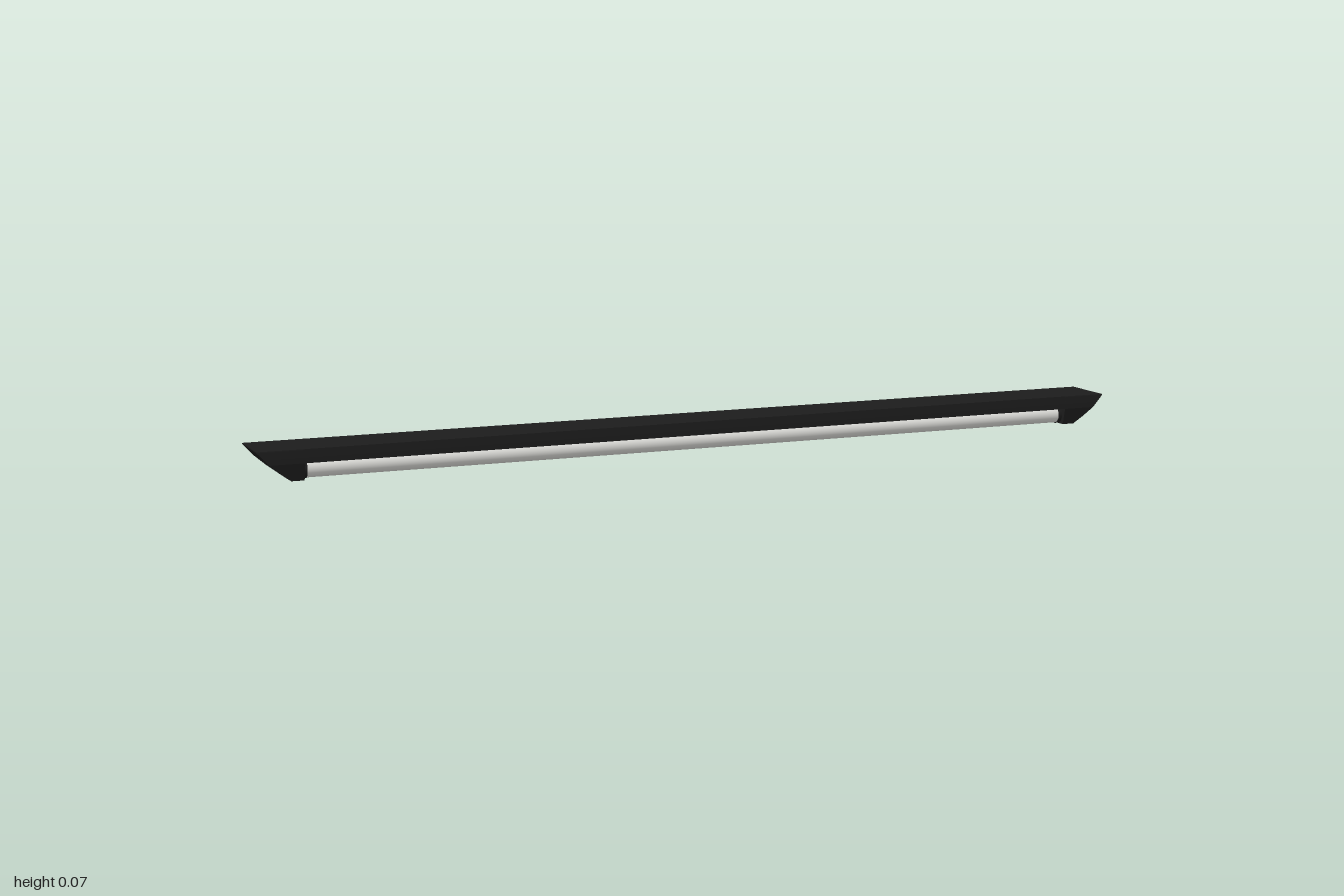
import * as THREE from 'three';

// Stack of rectangular sections: [y, xMin, xMax, zHalf], listed from bottom to top
function loftSections(sections) {
  const pos = [];
  const corners = ([y, x0, x1, z]) => [[x0, y, z], [x1, y, z], [x1, y, -z], [x0, y, -z]];
  const quad = (a, b, c, d) => pos.push(...a, ...b, ...c, ...a, ...c, ...d);
  const rings = sections.map(corners);
  for (let i = 0; i < rings.length - 1; i++) {
    for (let k = 0; k < 4; k++) {
      const n = (k + 1) % 4;
      quad(rings[i][k], rings[i][n], rings[i + 1][n], rings[i + 1][k]);
    }
  }
  const [a, b, c, d] = rings[0];
  quad(d, c, b, a);
  quad(...rings[rings.length - 1]);
  const geo = new THREE.BufferGeometry();
  geo.setAttribute('position', new THREE.Float32BufferAttribute(pos, 3));
  geo.computeVertexNormals();
  return geo;
}

export function createModel() {
  const model = new THREE.Group();
  const black = new THREE.MeshStandardMaterial({ color: 0x1c1c1c });
  black.name = 'black housing';
  const white = new THREE.MeshStandardMaterial({ color: 0xdededa });
  white.name = 'tube white';

  const add = (name, geo, mat, parent = model) => {
    const mesh = new THREE.Mesh(geo, mat);
    mesh.name = name;
    parent.add(mesh);
    return mesh;
  };

  // Long flat housing above the tubes
  add('housing', loftSections([
    [0.039, -0.9, 0.9, 0.065],
    [0.05, -0.9, 0.9, 0.065],
    [0.068, -0.9, 0.9, 0.063],
  ]), black);

  // Sloping end caps, one turned round to mirror the other
  for (const side of [1, -1]) {
    const end = new THREE.Group();
    end.name = side > 0 ? 'leftEnd' : 'rightEnd';
    end.rotation.y = side > 0 ? 0 : Math.PI;
    model.add(end);
    add('endCap', loftSections([
      [0.002, 0.9, 0.928, 0.056],
      [0.02, 0.9, 0.953, 0.06],
      [0.039, 0.9, 0.975, 0.065],
      [0.05, 0.9, 0.985, 0.065],
      [0.066, 0.9, 1, 0.0635],
      [0.068, 0.9, 1, 0.063],
    ]), black, end);

    // Small tab under the middle of the cap
    const tab = add('capTab', new THREE.BoxGeometry(0.025, 0.004, 0.026), black, end);
    tab.position.set(0.914, 0.002, 0);

    // Sockets that hold the tubes
    for (const z of [-0.031, 0.031]) {
      const socket = add('socket', new THREE.CylinderGeometry(0.0205, 0.0205, 0.012, 24), black, end);
      socket.rotation.z = Math.PI / 2;
      socket.position.set(0.898, 0.0225, z);
    }
  }

  // Two parallel lamp tubes
  for (const z of [-0.031, 0.031]) {
    const tube = add(z > 0 ? 'frontTube' : 'backTube', new THREE.CylinderGeometry(0.019, 0.019, 1.8, 32), white);
    tube.rotation.z = Math.PI / 2;
    tube.position.set(0, 0.0225, z);
  }

  return model;
}
